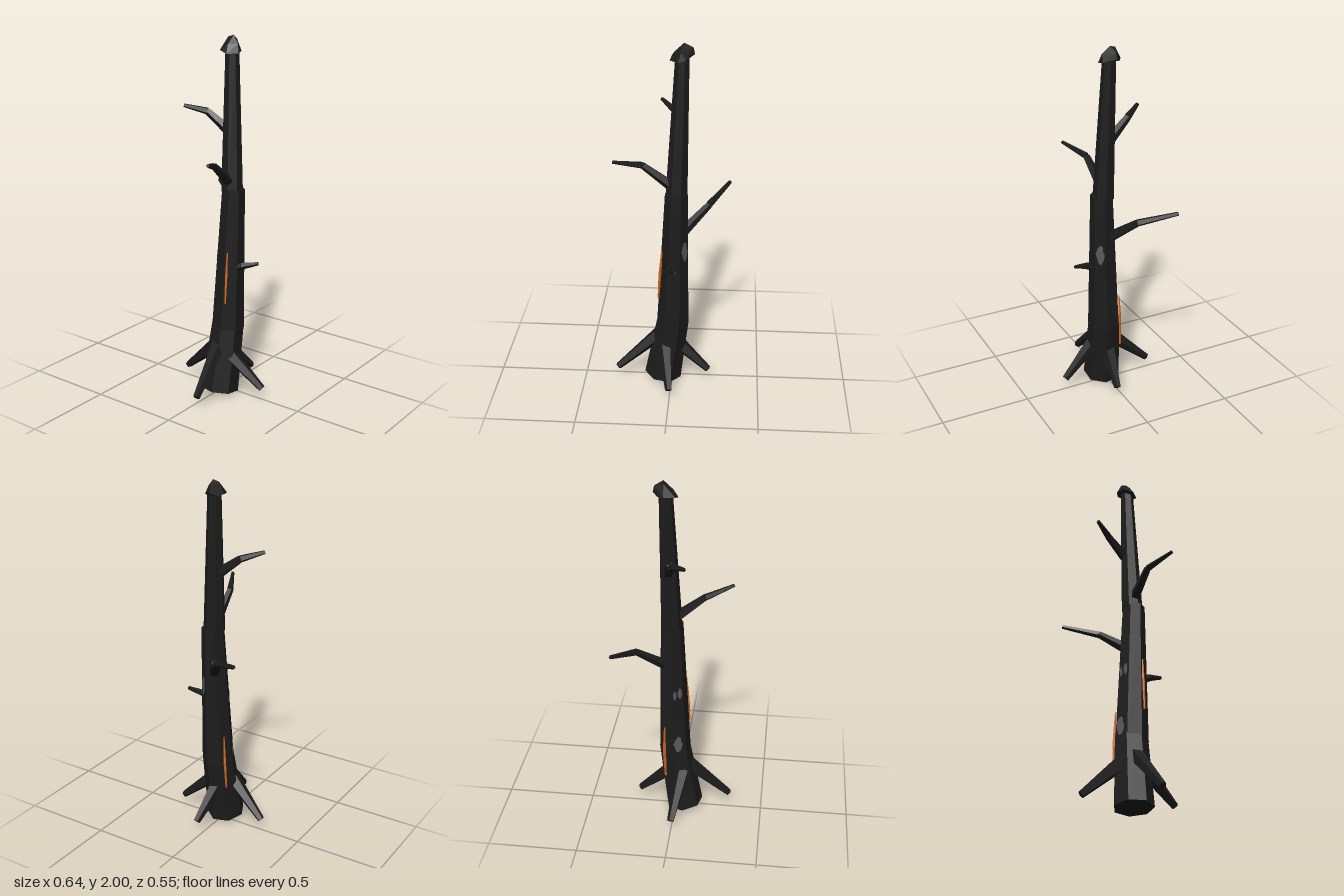
import * as THREE from 'three';
import { ConvexGeometry } from 'three/addons/geometries/ConvexGeometry.js';

const V = (p) => new THREE.Vector3(...p);
const UP = new THREE.Vector3(0, 1, 0);

function flat(name, color, side = THREE.FrontSide) {
  const m = new THREE.MeshStandardMaterial({ color, flatShading: true, side });
  m.name = name;
  return m;
}

// Tapered prism running from point a to point b
function taper(name, a, b, ra, rb, sides, roll, material) {
  const from = V(a), dir = V(b).sub(from), len = dir.length();
  const geo = new THREE.CylinderGeometry(rb, ra, len, sides);
  geo.rotateY(roll);
  geo.translate(0, len / 2, 0);
  const mesh = new THREE.Mesh(geo, material);
  mesh.name = name;
  mesh.position.copy(from);
  mesh.quaternion.setFromUnitVectors(UP, dir.normalize());
  return mesh;
}

// Chain of tapered prisms along a list of points
function limb(name, points, radii, sides, material) {
  const g = new THREE.Group();
  g.name = name;
  for (let i = 0; i < points.length - 1; i++) {
    g.add(taper(name + 'Segment' + (i + 1), points[i], points[i + 1], radii[i], radii[i + 1], sides, 0, material));
  }
  return g;
}

export function createModel() {
  const model = new THREE.Group();
  model.name = 'deadTree';
  const bark = flat('charred bark', 0x1c1c1c);
  const ash = flat('grey ash', 0x5a5a5a, THREE.DoubleSide);
  const ember = flat('orange ember', 0xd0691e);

  // Seven-sided trunk in three leaning sections, one flat face to the front
  const roll = Math.PI / 7;
  model.add(
    taper('lowerTrunk', [-0.05, 0.02, 0.003], [0.01, 0.4, 0.016], 0.107, 0.091, 7, roll, bark),
    taper('middleTrunk', [0.008, 0.385, 0.018], [0.028, 1.185, 0.04], 0.091, 0.063, 7, roll, bark),
    taper('upperTrunk', [0.028, 1.17, 0.03], [0.055, 1.94, 0.01], 0.06, 0.037, 7, roll, bark)
  );

  // Broken, chipped top
  const tip = new THREE.Mesh(new ConvexGeometry([
    [-0.01, 1.91, 0.02], [0.0, 1.925, -0.03], [0.015, 1.955, 0.01], [0.06, 1.93, -0.05],
    [0.09, 1.925, -0.03], [0.118, 1.94, 0.0], [0.11, 1.975, 0.0], [0.075, 1.92, 0.055],
    [0.035, 1.91, 0.065], [0.05, 1.96, 0.05], [0.065, 2.0, 0.012], [0.06, 1.99, -0.02]
  ].map(V)), bark);
  tip.name = 'brokenTop';
  model.add(tip);

  // Bent branches
  const branches = [
    ['rightBranch', [[0.0, 1.225, 0.032], [-0.15, 1.343, 0.045], [-0.3, 1.388, 0.12]], [0.03, 0.019, 0.009]],
    ['leftBranch', [[0.06, 0.94, 0.01], [0.2, 1.062, -0.088], [0.312, 1.124, -0.268]], [0.031, 0.02, 0.011]],
    ['backBranch', [[0.04, 1.5, -0.005], [0.012, 1.59, -0.12], [-0.067, 1.623, -0.22]], [0.03, 0.02, 0.01]],
    ['frontBranch', [[-0.002, 0.742, 0.07], [0.004, 0.763, 0.118], [0.03, 0.788, 0.205]], [0.026, 0.02, 0.01]]
  ];
  for (const [name, points, radii] of branches) model.add(limb(name, points, radii, 5, bark));

  // Straight splayed roots
  const roots = [
    ['rightRoot', [-0.06, 0.295, 0.01], [-0.308, 0.07, 0.04]],
    ['leftRoot', [0.03, 0.235, 0.01], [0.212, 0.068, 0.035]],
    ['frontRoot', [-0.04, 0.255, 0.05], [-0.001, 0.068, 0.262]],
    ['backRoot', [-0.04, 0.265, -0.04], [0.0, 0.068, -0.262]]
  ];
  for (const [name, a, b] of roots) model.add(taper(name, a, b, 0.043, 0.02, 5, 0, bark));

  // Ash patches: ragged thin plates lying on faces of the middle trunk
  const patch = (name, y, faceDeg, shift, w, h) => {
    const t = (y - 0.385) / 0.8, angle = THREE.MathUtils.degToRad(faceDeg);
    const apothem = (0.091 - 0.028 * t) * Math.cos(Math.PI / 7) + 0.003;
    const outline = [[0, 0.5], [0.3, 0.38], [0.34, 0.15], [0.5, 0], [0.36, -0.3], [0.08, -0.5],
      [-0.2, -0.4], [-0.38, -0.12], [-0.5, 0.06], [-0.3, 0.3]];
    const shape = new THREE.Shape(outline.map(([x, v]) => new THREE.Vector2(x * w + shift, v * h)));
    const mesh = new THREE.Mesh(new THREE.ShapeGeometry(shape), ash);
    mesh.name = name;
    mesh.position.set(0.008 + 0.02 * t + Math.sin(angle) * apothem, y, 0.018 + 0.022 * t + Math.cos(angle) * apothem);
    mesh.rotation.set(-0.03, angle, 0, 'YXZ');
    model.add(mesh);
  };
  const face = 360 / 7;
  patch('frontAshPatch', 0.85, face, 0, 0.05, 0.12);
  patch('backAshPatch', 0.78, -3 * face, 0.012, 0.028, 0.07);
  patch('backAshChip', 0.77, -3 * face, -0.018, 0.022, 0.06);
  patch('lowerAshPatch', 0.455, -3 * face, -0.008, 0.055, 0.11);

  // Glowing cracks
  model.add(
    limb('leftEmberCrack', [[0.052, 0.24, -0.062], [0.06, 0.4, -0.056], [0.059, 0.56, -0.05]], [0.006, 0.009, 0.004], 4, ember),
    limb('rightEmberCrack', [[-0.071, 0.55, 0.058], [-0.062, 0.7, 0.058], [-0.051, 0.84, 0.058]], [0.005, 0.008, 0.004], 4, ember)
  );
  return model;
}
